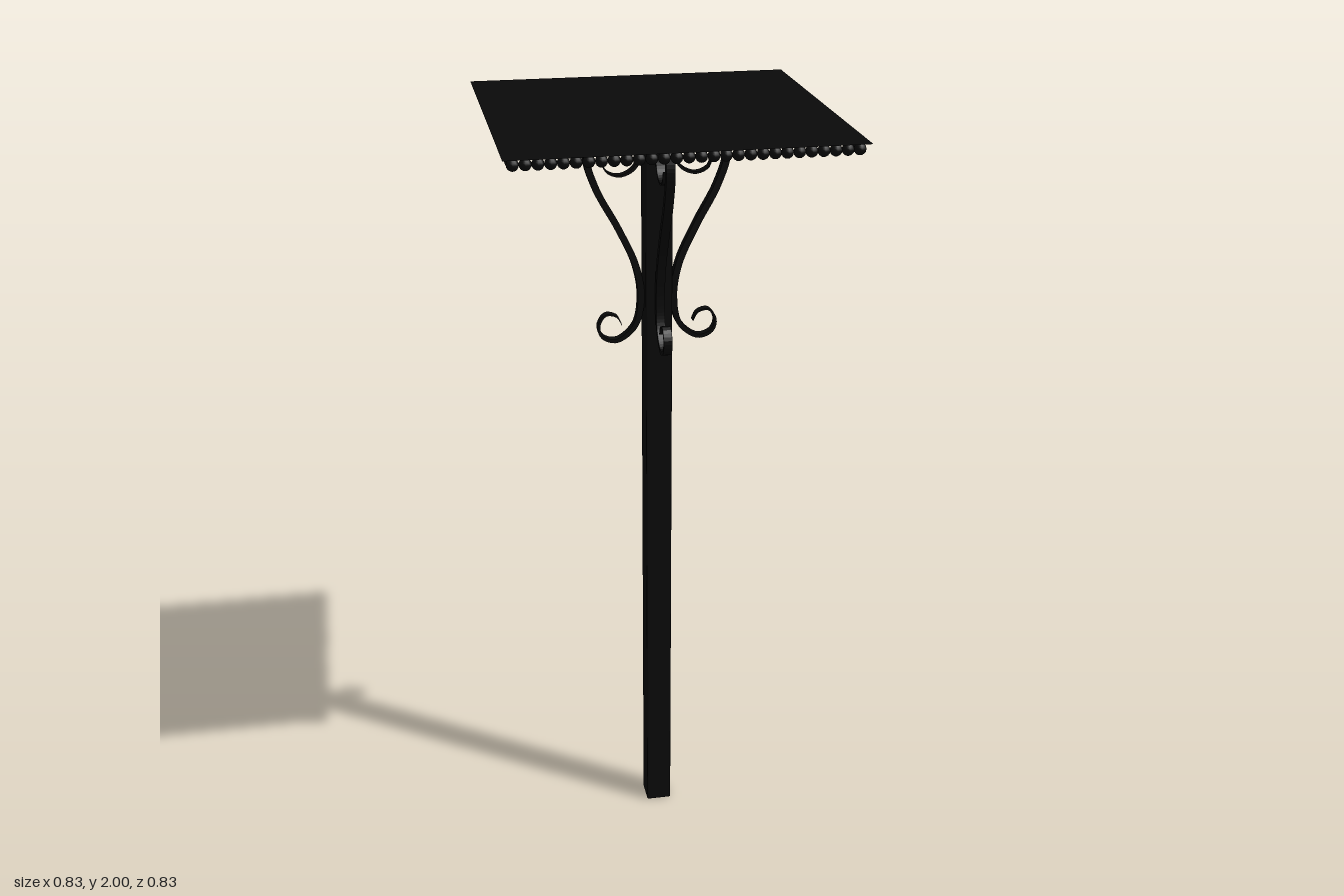
import * as THREE from 'three';
import { mergeGeometries } from 'three/addons/utils/BufferGeometryUtils.js';
import { RoundedBoxGeometry } from 'three/addons/geometries/RoundedBoxGeometry.js';

const iron = new THREE.MeshStandardMaterial({ color: 0x0a0a0a });
const ironSheet = new THREE.MeshStandardMaterial({ color: 0x0a0a0a, side: THREE.DoubleSide });

function part(name, geometry, y = 0, material = iron) {
  const mesh = new THREE.Mesh(geometry, material);
  mesh.name = name;
  mesh.position.y = y;
  return mesh;
}

// Flat bar following an S-scroll, thinning towards both curled tips
function scrollGeometry() {
  const path = new THREE.CatmullRomCurve3([
    [0.138, 1.884], [0.127, 1.857], [0.095, 1.845], [0.058, 1.862], [0.042, 1.905],
    [0.063, 1.947], [0.111, 1.965], [0.159, 1.942], [0.175, 1.894], [0.153, 1.815],
    [0.097, 1.709], [0.055, 1.614], [0.042, 1.529], [0.058, 1.455], [0.106, 1.418],
    [0.142, 1.430], [0.151, 1.460], [0.133, 1.488], [0.104, 1.482], [0.092, 1.460],
  ].map(([x, y]) => new THREE.Vector3(x, y, 0)));
  const steps = 120, depth = 0.022;
  const outer = [], inner = [];
  for (let i = 0; i <= steps; i++) {
    const t = i / steps;
    const p = path.getPointAt(t), d = path.getTangentAt(t);
    const half = 0.001 + 0.0075 * Math.min(1, Math.min(t, 1 - t) / 0.28);
    outer.push(new THREE.Vector2(p.x - d.y * half, p.y + d.x * half));
    inner.unshift(new THREE.Vector2(p.x + d.y * half, p.y - d.x * half));
  }
  const geometry = new THREE.ExtrudeGeometry(new THREE.Shape([...outer, ...inner]),
    { depth, bevelEnabled: false });
  return geometry.translate(0, 0, -depth / 2);
}

// Row of beads around the square rim
function beadGeometry(half, radius, count) {
  const beads = [];
  for (let side = 0; side < 4; side++) {
    for (let i = 0; i < count; i++) {
      const bead = new THREE.SphereGeometry(radius, 12, 8);
      bead.translate(-half + (2 * half * i) / count, 0, half);
      bead.rotateY(side * Math.PI / 2);
      beads.push(bead);
    }
  }
  return mergeGeometries(beads);
}

export function createModel() {
  const model = new THREE.Group();
  model.name = 'scrollPost';

  // Square post with slightly eased edges, and a small cap under the top
  model.add(part('post', new RoundedBoxGeometry(0.068, 1.985, 0.068, 1, 0.004), 0.9925));
  model.add(part('cap', new THREE.BoxGeometry(0.11, 0.012, 0.11), 1.98));

  // Thin square top with a beaded rim beneath it
  const sheet = new THREE.PlaneGeometry(0.831, 0.831).rotateX(-Math.PI / 2);
  model.add(part('topSheet', sheet, 2, ironSheet));
  model.add(part('beadedRim', beadGeometry(0.392, 0.0145, 28), 1.985));

  // One scroll bracket on each face of the post
  const scroll = scrollGeometry();
  for (let i = 0; i < 4; i++) {
    const bracket = part('scrollBracket', scroll);
    bracket.rotation.y = i * Math.PI / 2;
    model.add(bracket);
  }
  return model;
}
